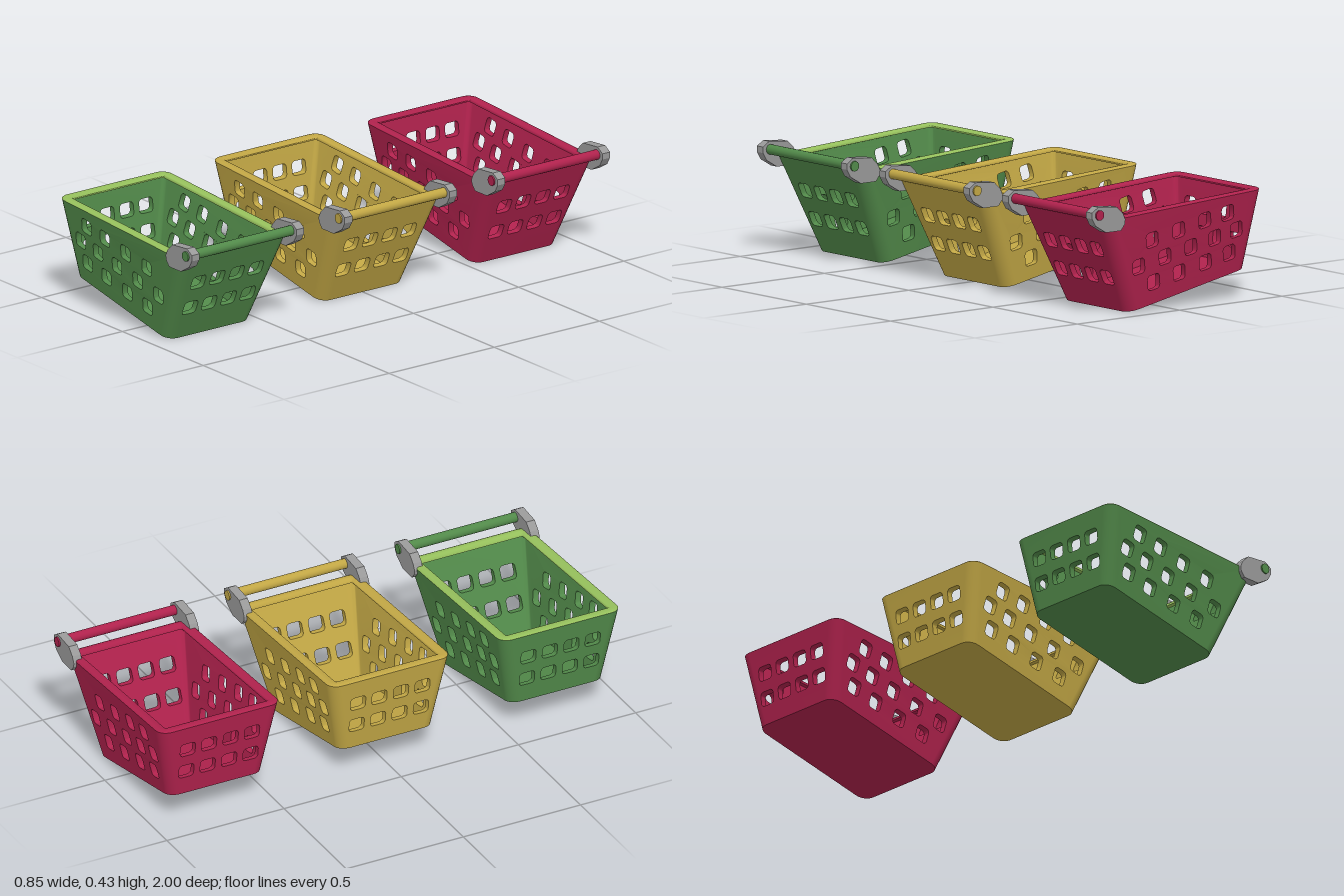
import * as THREE from 'three';
import { mergeGeometries, toCreasedNormals } from 'three/addons/utils/BufferGeometryUtils.js';

const lerp = THREE.MathUtils.lerp;
const R = 0.045;      // corner radius of the basket
const THICK = 0.025;  // wall thickness
const TOP = 0.985;    // where the walls end and the lip begins

// Point of the tapered, tilted tub at height t (0 floor, 1 rim), inset by d,
// on corner i (0..3) at fraction a of its quarter arc.
function tubPoint(i, a, t, d) {
  const x0 = lerp(-0.388, -0.425, t), x1 = lerp(0.185, 0.35, t), h = lerp(0.2, 0.258, t);
  const cx = i === 0 || i === 3 ? x1 - R : x0 + R;
  const cz = i < 2 ? h - R : R - h;
  const ang = (i + a) * Math.PI / 2;
  const x = cx + (R - d) * Math.cos(ang), z = cz + (R - d) * Math.sin(ang);
  const s = (x - x0) / (x1 - x0);
  const y = lerp(lerp(0.1125, 0.422, t), lerp(0, 0.378, t), s);
  return new THREE.Vector3(x, y, z);
}

// Point on the straight wall after corner i
const wallPoint = (i, u, t, d) =>
  tubPoint((i + 1) % 4, 0, t, d).lerp(tubPoint(i, 1, t, d), u);

const arc = (i, t, d) => Array.from({ length: 7 }, (_, k) => tubPoint(i, k / 6, t, d));
const ring = (t, d) => [0, 1, 2, 3].flatMap(i => arc(i, t, d)).concat([tubPoint(0, 0, t, d)]);

// Skin between rows of points
function skin(rows) {
  const n = rows[0].length, index = [];
  for (let r = 0; r < rows.length - 1; r++)
    for (let c = 0; c < n - 1; c++) {
      const p = r * n + c, q = p + n;
      index.push(p, q, p + 1, p + 1, q, q + 1);
    }
  const g = new THREE.BufferGeometry().setFromPoints(rows.flat());
  g.setIndex(index);
  return g.toNonIndexed();
}

// Convert a seen position (p across, y up) to wall coordinates
function toWall(i, p, y) {
  const axis = i % 2 ? 'z' : 'x';
  let u = 0.5, t = 0.5;
  for (let k = 0; k < 12; k++) {
    const A = wallPoint(i, 0, t, 0)[axis], B = wallPoint(i, 1, t, 0)[axis];
    u = (p - A) / (B - A);
    const y0 = wallPoint(i, u, 0, 0).y, y1 = wallPoint(i, u, 1, 0).y;
    t = (y - y0) / (y1 - y0);
  }
  return new THREE.Vector2(u, t);
}

// Rounded, tilted square hole
function holePath(i, [p, y], hw, hh, tilt) {
  const r = 0.014, pts = [];
  for (let c = 0; c < 4; c++)
    for (let k = 0; k <= 4; k++) {
      const a = (c + k / 4) * Math.PI / 2;
      const x = (c === 0 || c === 3 ? 1 : -1) * (hw - r) + r * Math.cos(a);
      const v = (c < 2 ? 1 : -1) * (hh - r) + r * Math.sin(a);
      pts.push(toWall(i, p + x * Math.cos(tilt) - v * Math.sin(tilt),
        y + x * Math.sin(tilt) + v * Math.cos(tilt)));
    }
  return new THREE.Path(pts);
}

const SIDE_HOLES = [
  [-0.258, 0.34], [-0.147, 0.324], [-0.022, 0.299], [0.106, 0.276],
  [-0.311, 0.269], [-0.207, 0.249], [-0.092, 0.226], [0.033, 0.202], [0.16, 0.177],
  [-0.289, 0.181], [-0.174, 0.157], [-0.047, 0.131], [0.077, 0.108],
];
const endHoles = rows => rows.flatMap(y => [-0.137, -0.046, 0.046, 0.137].map(z => [z, y]));

// One perforated wall, bent from a flat sheet
function wallGeometry(i) {
  const sheet = new THREE.Shape([[0, 0], [1, 0], [1, TOP], [0, TOP]].map(p => new THREE.Vector2(...p)));
  const side = i % 2 === 0;
  const holes = side ? SIDE_HOLES : endHoles(i === 1 ? [0.215, 0.315] : [0.247, 0.133]);
  sheet.holes = holes.map(h => holePath(i, h, side ? 0.029 : 0.032, side ? 0.03 : 0.028, side ? -0.18 : 0));
  const g = new THREE.ExtrudeGeometry(sheet, { depth: 1, bevelEnabled: false });
  const pos = g.attributes.position;
  for (let k = 0; k < pos.count; k++) {
    const p = wallPoint(i, pos.getX(k), pos.getY(k), THICK * (1 - pos.getZ(k)));
    pos.setXYZ(k, p.x, p.y, p.z);
  }
  g.deleteAttribute('uv');
  g.deleteAttribute('normal');
  return g;
}

// Flat cap: the ring and its centre
function capRows(t, d) {
  const edge = ring(t, d);
  const mid = tubPoint(0, 0.5, t, d).add(tubPoint(2, 0.5, t, d)).multiplyScalar(0.5);
  return [edge.map(() => mid), edge];
}

function tubGeometry() {
  const parts = [skin(capRows(0, 0)), skin(capRows(0.06, THICK).reverse())];
  for (let i = 0; i < 4; i++) {
    parts.push(wallGeometry(i));
    parts.push(skin([arc(i, 0, 0), arc(i, TOP, 0)]));
    parts.push(skin([arc(i, TOP, THICK), arc(i, 0, THICK)]));
  }
  return toCreasedNormals(mergeGeometries(parts), 0.7);
}

function lipGeometry() {
  const profile = [[TOP, 0], [0.995, 0.004], [1, 0.011], [1, 0.03], [0.995, 0.037], [0.98, 0.04], [0.96, 0.038], [0.95, THICK]];
  return toCreasedNormals(skin(profile.map(([t, d]) => ring(t, d))), 0.9);
}

function bracketGeometry() {
  const outline = [[0.26, 0.374], [0.2625, 0.356], [0.281, 0.333], [0.354, 0.333], [0.405, 0.363],
    [0.422, 0.392], [0.422, 0.415], [0.41, 0.423], [0.392, 0.434], [0.301, 0.426], [0.272, 0.398]];
  const shape = new THREE.Shape(outline.map(p => new THREE.Vector2(...p)));
  return new THREE.ExtrudeGeometry(shape, { depth: 0.036, bevelEnabled: false });
}

export function createModel() {
  const mat = (name, color) => {
    const m = new THREE.MeshStandardMaterial({ color });
    m.name = name;
    return m;
  };
  const green = mat('green', 0x528a4a), lightGreen = mat('light green', 0x96c05c);
  const yellow = mat('yellow', 0xc2a745), red = mat('red', 0xb0224d), grey = mat('grey', 0x999999);

  const tub = tubGeometry(), lip = lipGeometry(), bracket = bracketGeometry();
  const bar = new THREE.CylinderGeometry(0.0195, 0.0195, 0.546, 16).rotateX(Math.PI / 2);

  const model = new THREE.Group();
  model.name = 'baskets';
  const add = (parent, name, geometry, material, x = 0, y = 0, z = 0) => {
    const mesh = new THREE.Mesh(geometry, material);
    mesh.name = name;
    mesh.position.set(x, y, z);
    parent.add(mesh);
  };

  [['green basket', green, lightGreen, 0.727], ['yellow basket', yellow, yellow, 0], ['red basket', red, red, -0.727]]
    .forEach(([name, body, rim, z]) => {
      const basket = new THREE.Group();
      basket.name = name;
      basket.position.z = z;
      add(basket, 'tub', tub, body);
      add(basket, 'lip', lip, rim);
      add(basket, 'handleBar', bar, body, 0.3875, 0.403);
      add(basket, 'leftBracket', bracket, grey, 0, 0, 0.231);
      add(basket, 'rightBracket', bracket, grey, 0, 0, -0.267);
      model.add(basket);
    });
  return model;
}
